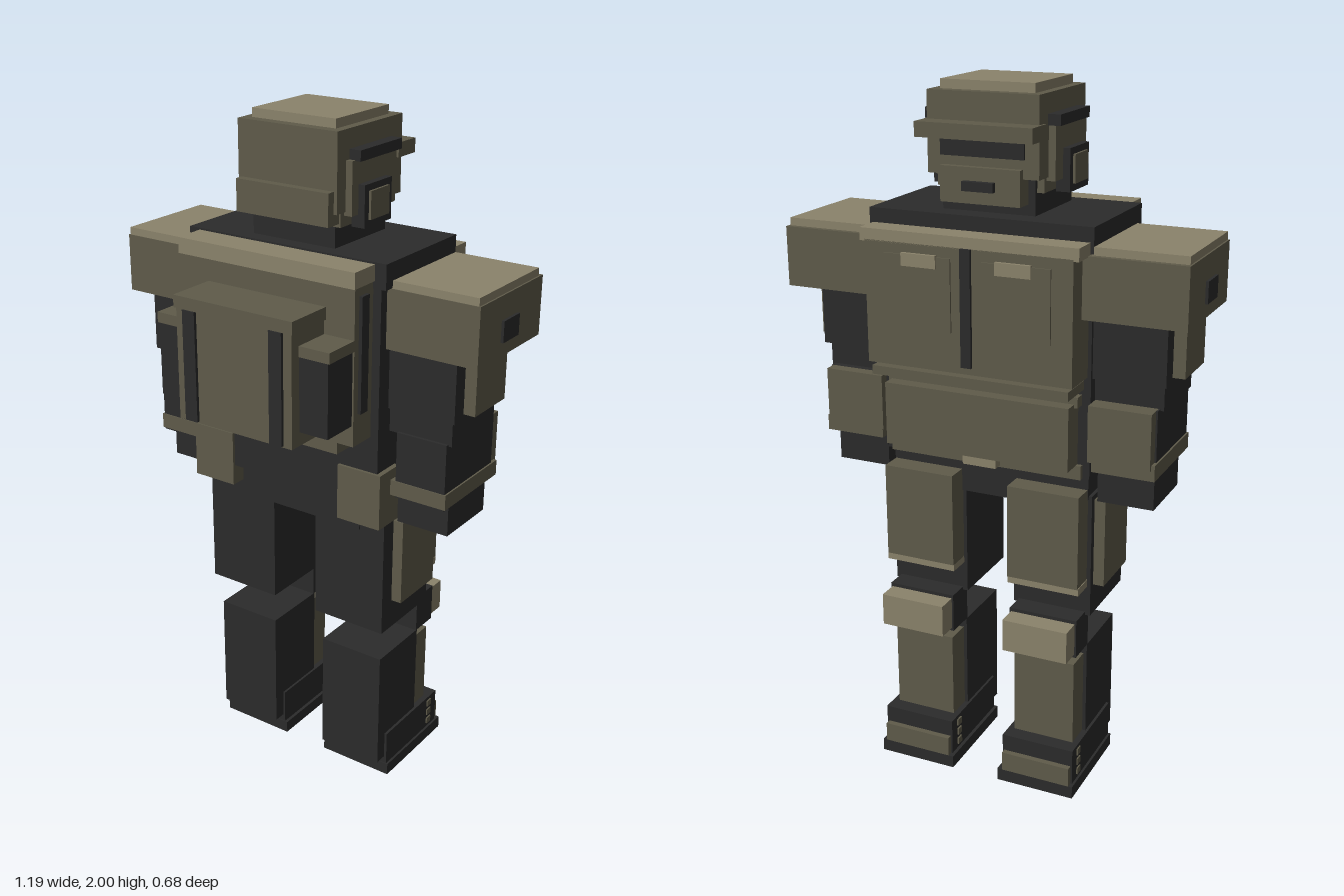
import * as THREE from 'three';

const mat = (name, hex) => {
  const m = new THREE.MeshStandardMaterial({ color: hex });
  m.name = name;
  return m;
};

export function createModel() {
  const dark = mat('charcoal', 0x2b2b2b);
  const olive = mat('olive', 0x5f5b4a);
  const light = mat('light olive', 0x8b836b);
  const root = new THREE.Group();
  root.name = 'armouredSoldier';

  const group = (name) => {
    const g = new THREE.Group();
    g.name = name;
    root.add(g);
    return g;
  };
  // Box given by its x, y and z ranges
  const box = (g, name, m, x0, x1, y0, y1, z0, z1) => {
    const mesh = new THREE.Mesh(new THREE.BoxGeometry(x1 - x0, y1 - y0, z1 - z0), m);
    mesh.position.set((x0 + x1) / 2, (y0 + y1) / 2, (z0 + z1) / 2);
    mesh.name = name;
    g.add(mesh);
  };
  // Box centred on x = 0
  const mid = (g, name, m, w, ...r) => box(g, name, m, -w, w, ...r);
  // Pair of boxes mirrored in x
  const pair = (g, name, m, x0, x1, ...r) => {
    box(g, name + 'Left', m, x0, x1, ...r);
    box(g, name + 'Right', m, -x1, -x0, ...r);
  };

  // Head and helmet (the face looks towards -z)
  const head = group('head');
  mid(head, 'neck', dark, 0.135, 1.65, 1.78, -0.19, 0.055);
  mid(head, 'helmet', olive, 0.16, 1.76, 1.975, -0.225, 0.085);
  mid(head, 'helmetCap', light, 0.135, 1.97, 2.0, -0.195, 0.055);
  mid(head, 'napeGuard', olive, 0.15, 1.73, 1.82, 0.06, 0.11);
  mid(head, 'helmetBase', olive, 0.155, 1.72, 1.77, -0.18, 0.06);
  mid(head, 'brim', olive, 0.167, 1.86, 1.9, -0.285, -0.2);
  mid(head, 'visor', dark, 0.12, 1.81, 1.855, -0.232, -0.22);
  mid(head, 'jaw', olive, 0.115, 1.69, 1.785, -0.245, -0.18);
  mid(head, 'mouthSlot', dark, 0.045, 1.725, 1.75, -0.262, -0.24);
  pair(head, 'earPlate', olive, 0.155, 0.18, 1.75, 1.895, -0.165, 0.045);
  pair(head, 'sideRail', dark, 0.155, 0.195, 1.893, 1.922, -0.17, 0.03);
  pair(head, 'earCup', dark, 0.16, 0.2, 1.715, 1.83, -0.115, 0.015);
  pair(head, 'earPad', olive, 0.2, 0.207, 1.735, 1.812, -0.095, -0.005);

  // Torso
  const torso = group('torso');
  mid(torso, 'collar', dark, 0.325, 1.59, 1.66, -0.255, 0.1);
  mid(torso, 'body', dark, 0.31, 0.96, 1.6, -0.22, 0.098);
  mid(torso, 'pelvis', dark, 0.23, 0.855, 0.97, -0.2, 0.06);
  mid(torso, 'hips', dark, 0.3, 0.89, 0.97, -0.2, 0.06);
  // Chest plate
  mid(torso, 'chestPlate', olive, 0.3, 1.25, 1.59, -0.33, -0.215);
  mid(torso, 'chestCap', light, 0.315, 1.585, 1.62, -0.33, -0.25);
  mid(torso, 'chestStrip', dark, 0.015, 1.27, 1.59, -0.339, -0.33);
  pair(torso, 'chestPocket', olive, 0.045, 0.24, 1.36, 1.56, -0.335, -0.33);
  pair(torso, 'pocketFlap', light, 0.085, 0.187, 1.53, 1.565, -0.34, -0.33);
  mid(torso, 'waistStrip', olive, 0.29, 1.215, 1.24, -0.33, -0.21);
  mid(torso, 'abdomenPlate', olive, 0.275, 1.0, 1.18, -0.29, -0.2);
  mid(torso, 'abdomenTop', olive, 0.285, 1.17, 1.2, -0.25, -0.2);
  mid(torso, 'belt', olive, 0.29, 0.96, 1.0, -0.235, -0.2);
  mid(torso, 'buckle', light, 0.05, 0.965, 0.995, -0.265, -0.235);
  // Rear plate and belt
  mid(torso, 'rearPlate', olive, 0.285, 1.17, 1.62, 0.09, 0.183);
  mid(torso, 'rearCap', light, 0.29, 1.61, 1.655, 0.09, 0.193);
  pair(torso, 'rearSideStrip', dark, 0.28, 0.295, 1.26, 1.585, 0.13, 0.163);
  mid(torso, 'rearStrap', olive, 0.22, 1.125, 1.18, 0.09, 0.163);
  mid(torso, 'rearTab', olive, 0.045, 1.16, 1.185, 0.16, 0.185);
  pair(torso, 'hipPouch', olive, 0.185, 0.325, 0.9, 1.065, 0.01, 0.107);

  // Backpack
  const pack = group('backpack');
  mid(pack, 'packBody', olive, 0.19, 1.19, 1.52, 0.18, 0.328);
  mid(pack, 'packLid', olive, 0.195, 1.51, 1.545, 0.18, 0.333);
  pair(pack, 'packStrap', dark, 0.122, 0.163, 1.195, 1.51, 0.328, 0.337);
  pair(pack, 'sidePouch', dark, 0.19, 0.28, 1.23, 1.445, 0.18, 0.295);
  pair(pack, 'sidePouchCap', olive, 0.19, 0.285, 1.44, 1.47, 0.18, 0.297);

  // Arms
  const arms = group('arms');
  pair(arms, 'shoulderPad', olive, 0.3, 0.585, 1.42, 1.588, -0.27, 0.07);
  pair(arms, 'shoulderCap', light, 0.32, 0.58, 1.585, 1.61, -0.255, 0.068);
  pair(arms, 'shoulderBadge', dark, 0.585, 0.593, 1.46, 1.52, -0.133, -0.048);
  pair(arms, 'upperArm', dark, 0.31, 0.515, 1.245, 1.42, -0.21, 0.05);
  pair(arms, 'upperArmPad', olive, 0.51, 0.55, 1.26, 1.42, -0.16, 0.003);
  pair(arms, 'elbow', dark, 0.31, 0.505, 1.175, 1.245, -0.19, 0.04);
  pair(arms, 'forearm', dark, 0.34, 0.495, 0.985, 1.18, -0.21, 0.05);
  pair(arms, 'forearmGuard', olive, 0.312, 0.49, 1.02, 1.18, -0.245, -0.125);
  pair(arms, 'wristBand', olive, 0.32, 0.5, 0.99, 1.035, -0.235, 0.053);
  pair(arms, 'hand', dark, 0.325, 0.487, 0.89, 0.99, -0.195, 0.01);

  // Legs
  const legs = group('legs');
  pair(legs, 'thigh', dark, 0.075, 0.31, 0.535, 0.9, -0.195, 0.055);
  pair(legs, 'thighSidePad', olive, 0.305, 0.342, 0.625, 0.885, -0.175, 0.005);
  pair(legs, 'thighPlate', olive, 0.085, 0.298, 0.645, 0.92, -0.265, -0.19);
  pair(legs, 'thighPlateEdge', light, 0.085, 0.3, 0.625, 0.647, -0.262, -0.19);
  pair(legs, 'kneeJoint', dark, 0.09, 0.295, 0.43, 0.545, -0.26, -0.17);
  pair(legs, 'kneePad', light, 0.095, 0.29, 0.44, 0.535, -0.32, -0.255);
  pair(legs, 'shin', dark, 0.09, 0.295, 0.06, 0.43, -0.175, 0.035);
  pair(legs, 'shinPlate', olive, 0.1, 0.285, 0.14, 0.4, -0.25, -0.17);

  // Boots with lace tabs on both sides
  const boots = group('boots');
  pair(boots, 'sole', dark, 0.073, 0.31, 0, 0.037, -0.312, 0);
  pair(boots, 'boot', dark, 0.083, 0.303, 0.035, 0.145, -0.295, -0.003);
  pair(boots, 'toeCap', olive, 0.088, 0.298, 0.037, 0.095, -0.312, -0.29);
  for (const y of [0.06, 0.092, 0.124]) {
    pair(boots, 'laceTabOuter', olive, 0.3, 0.307, y - 0.01, y + 0.01, -0.262, -0.24);
    pair(boots, 'laceTabInner', olive, 0.078, 0.085, y - 0.01, y + 0.01, -0.262, -0.24);
  }
  return root;
}
